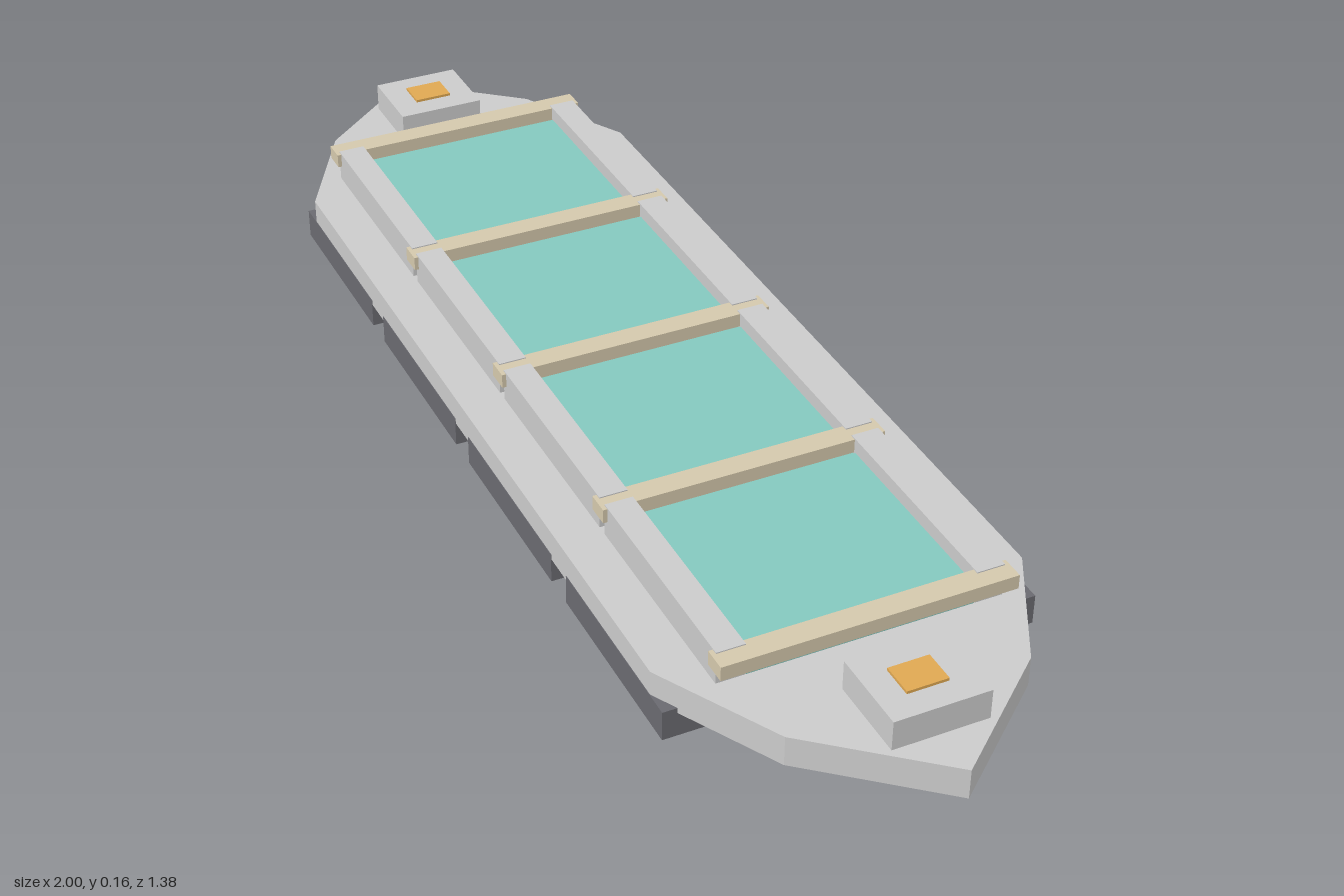
import * as THREE from 'three';

const material = (color) => new THREE.MeshStandardMaterial({ color, flatShading: true });

export function createModel() {
  const grey = material(0xcccccc);
  const dark = material(0x6a6a70);
  const teal = material(0x84c8be);
  const tan = material(0xd4c8ac);
  const amber = material(0xdfa852);

  const model = new THREE.Group();
  model.name = 'barge';
  const body = new THREE.Group();
  body.name = 'body';
  body.rotation.y = -Math.PI / 6; // the long axis lies diagonally
  model.add(body);

  // Box given by its centre, its length and width, and its bottom and top
  function box(name, mat, x, z, length, width, y0, y1) {
    const mesh = new THREE.Mesh(new THREE.BoxGeometry(length, y1 - y0, width), mat);
    mesh.position.set(x, (y0 + y1) / 2, z);
    mesh.name = name;
    body.add(mesh);
  }

  // Hull slab with pointed, faceted ends
  const quarter = [[1.153, 0], [0.978, 0.21], [0.765, 0.327]];
  const outline = [
    ...quarter,
    ...quarter.slice().reverse().map(([x, y]) => [-x, y]),
    ...quarter.slice(1).map(([x, y]) => [-x, -y]),
    ...quarter.slice(1).reverse().map(([x, y]) => [x, -y]),
  ];
  const hullGeometry = new THREE.ExtrudeGeometry(
    new THREE.Shape(outline.map(([x, y]) => new THREE.Vector2(x, y))),
    { depth: 0.055, bevelEnabled: false },
  );
  hullGeometry.rotateX(Math.PI / 2).translate(0, 0.1, 0);
  const hull = new THREE.Mesh(hullGeometry, grey);
  hull.name = 'hull';
  body.add(hull);

  // Four bays: hatch, side rails and the floats below
  const pitch = 0.42;
  box('hatchBase', teal, 0, 0, 1.66, 0.398, 0.1, 0.13);
  for (let i = 0; i < 4; i++) {
    const x = (i - 1.5) * pitch;
    box('hatchPanel', teal, x, 0, 0.366, 0.398, 0.12, 0.135);
    for (const side of [-1, 1]) {
      box('sideRail', grey, x, side * 0.225, 0.4, 0.05, 0.1, 0.16);
      box('float', dark, x, side * 0.273, 0.36, 0.11, 0, 0.055);
    }
  }

  // Crossbars between and beyond the bays
  for (let i = -2; i <= 2; i++) {
    box('crossbar', tan, i * pitch, 0, 0.042, 0.515, 0.132, 0.158);
  }

  // Deck box with a lamp at each end
  for (const end of [-1, 1]) {
    box('deckBox', grey, end * 0.994, 0, 0.148, 0.167, 0.1, 0.154);
    box('deckLamp', amber, end * 0.994, 0, 0.058, 0.072, 0.15, 0.159);
  }

  return model;
}
